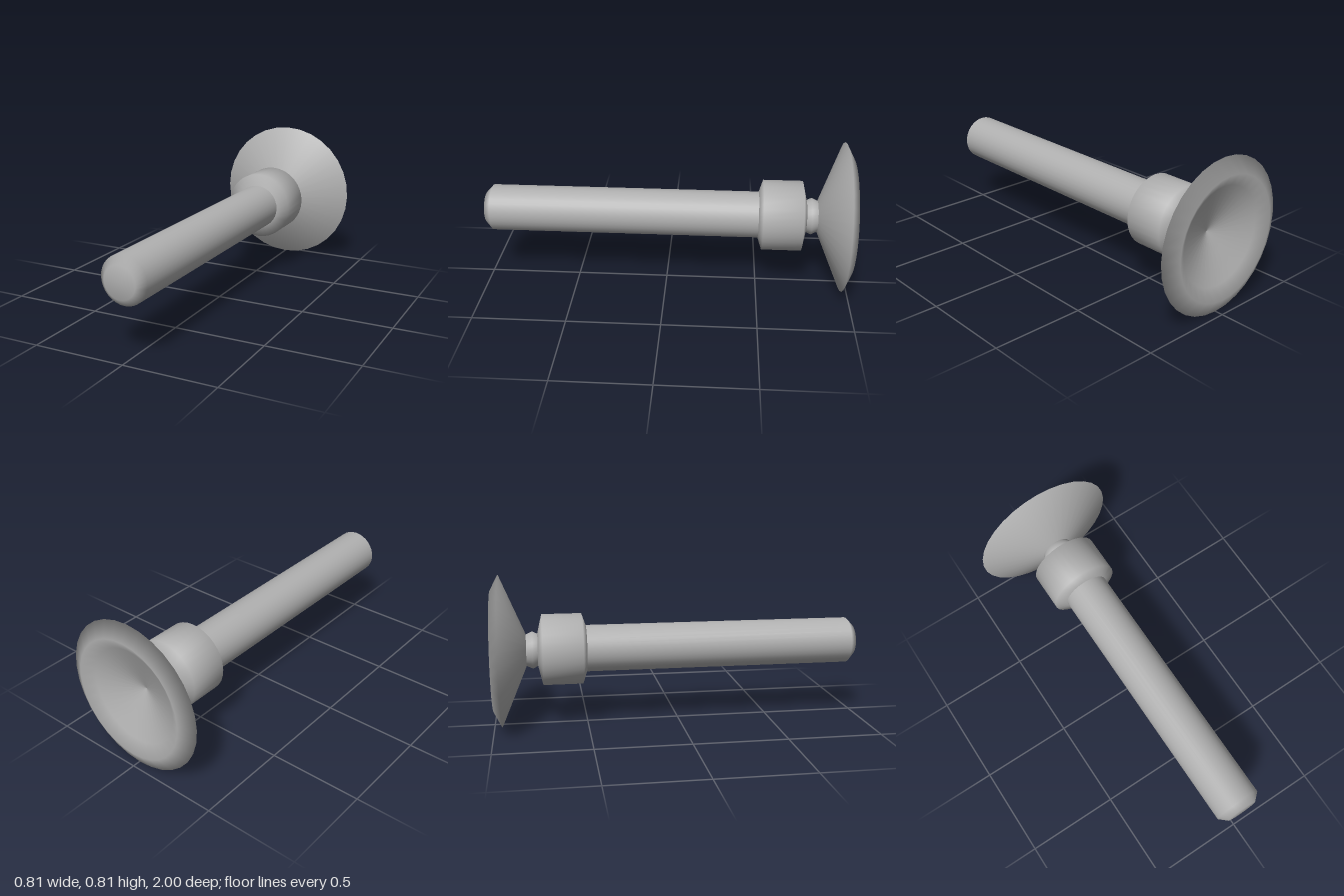
import * as THREE from 'three';

const AXIS_HEIGHT = 0.407;

export function createModel() {
  const group = new THREE.Group();
  const grey = new THREE.MeshStandardMaterial({ color: 0xb0b0b0 });
  grey.name = 'plain grey';

  // Turned part along z; profile is [radius, z] from back to front
  function turned(name, profile) {
    const points = profile.map(([r, z]) => new THREE.Vector2(r, z));
    const geometry = new THREE.LatheGeometry(points, 32);
    geometry.rotateX(Math.PI / 2);
    const mesh = new THREE.Mesh(geometry, grey);
    mesh.name = name;
    mesh.position.y = AXIS_HEIGHT;
    group.add(mesh);
  }

  // Long rod with a softened tip
  turned('shaft', [[0.126, -0.52], [0.126, 0.962], [0.085, 1], [0, 1]]);

  // Thick ring behind the shaft
  turned('collar', [[0.085, -0.76], [0.191, -0.735], [0.191, -0.522], [0.126, -0.5]]);

  // Small bead joining collar and cup
  turned('neck', [[0.085, -0.82], [0.1, -0.787], [0.085, -0.755]]);

  // Hollow suction cup: inner bowl, rounded rim, outer cone
  turned('suctionCup', [
    [0, -0.87], [0.26, -0.96], [0.325, -1], [0.407, -0.957], [0.085, -0.82], [0, -0.82],
  ]);

  return group;
}
